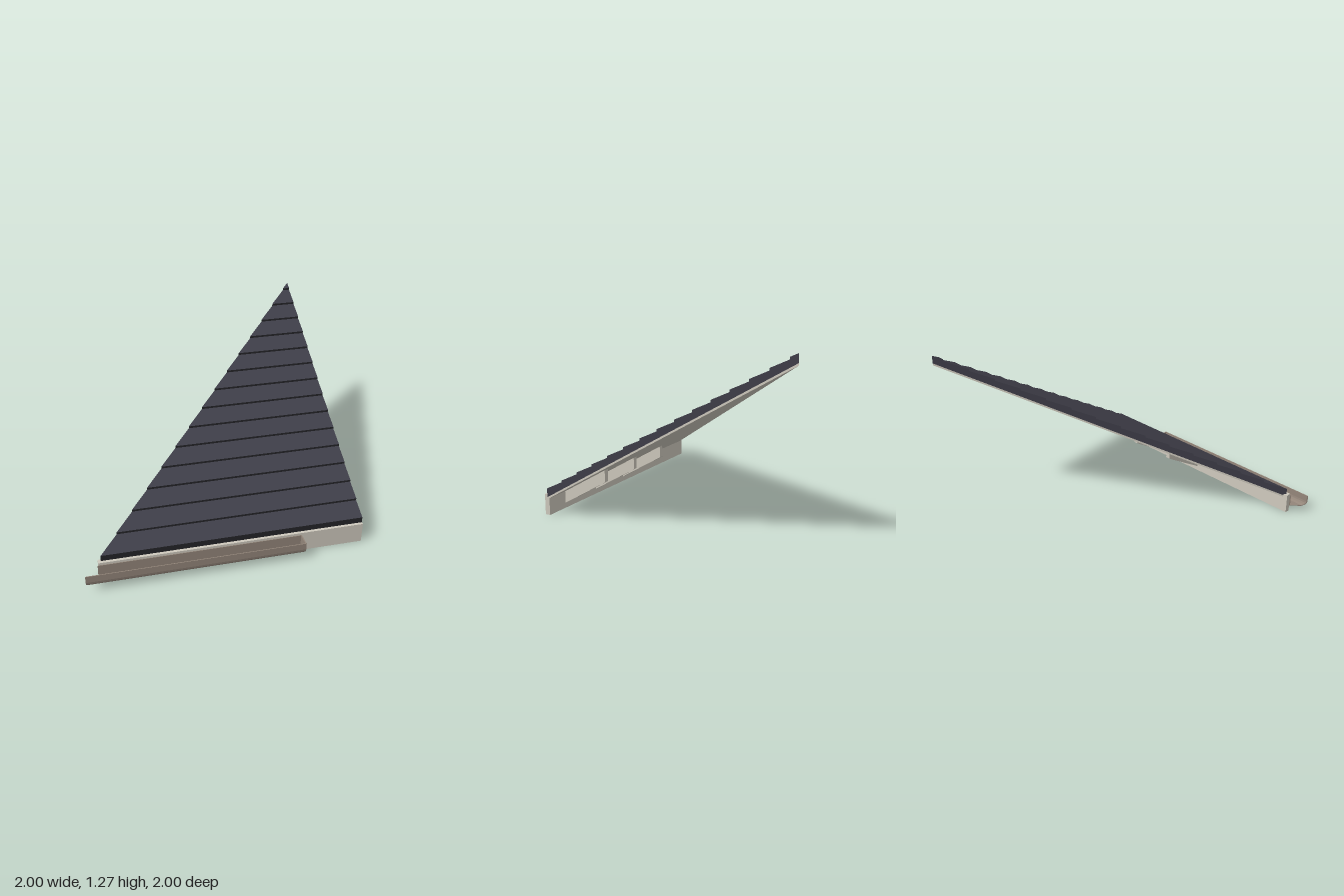
import * as THREE from 'three';

const mat = (name, color, side = THREE.FrontSide) => {
  const m = new THREE.MeshStandardMaterial({ color, side });
  m.name = name;
  return m;
};

const SLOPE = 0.577;      // roof pitch, 30 degrees
const FRONT = 0.88;       // eave edge of the roof
const deckTop = (z) => 0.13 + (FRONT - z) * SLOPE;

// Sloping slab between zf and zb, cut on the left along the hip line x = -z.
// The front face is a second material group.
function hipSlab(zf, zb, bottomF, topF, bottomB, topB) {
  const a = [-zf, bottomF, zf], b = [1, bottomF, zf], c = [1, bottomB, zb], d = [-zb, bottomB, zb];
  const A = [-zf, topF, zf], B = [1, topF, zf], C = [1, topB, zb], D = [-zb, topB, zb];
  const quads = [[A, B, C, D], [a, d, c, b], [b, c, C, B], [d, a, A, D], [c, d, D, C], [a, b, B, A]];
  const pos = quads.flatMap(([p, q, r, s]) => [p, q, r, p, r, s].flat());
  const g = new THREE.BufferGeometry();
  g.setAttribute('position', new THREE.Float32BufferAttribute(pos, 3));
  g.computeVertexNormals();
  g.addGroup(0, 30, 0);
  g.addGroup(30, 6, 1);
  return g;
}

// Extrude a (z, y) outline along x from x0 to x1
function extrudeX(points, x0, x1) {
  const shape = new THREE.Shape(points.map(([z, y]) => new THREE.Vector2(-z, y)));
  const g = new THREE.ExtrudeGeometry(shape, { depth: x1 - x0, bevelEnabled: false });
  return g.rotateY(Math.PI / 2).translate(x0, 0, 0);
}

export function createModel() {
  const root = new THREE.Group();
  root.name = 'hipRoofCorner';
  const slate = mat('slate', 0x3f3e49);
  const slateEdge = mat('slateEdge', 0x252429);
  const trim = mat('paleTrim', 0xcfcabe);
  const metal = mat('brownGutter', 0x94867a, THREE.DoubleSide);

  const add = (name, geometry, material, parent = root) => {
    const m = new THREE.Mesh(geometry, material);
    m.name = name;
    parent.add(m);
    return m;
  };

  // Overlapping tile courses, narrowing toward the peak
  const tiles = new THREE.Group();
  tiles.name = 'roofTiles';
  root.add(tiles);
  const pitch = 0.1304;
  for (let i = 0; i < 15; i++) {
    const zf = FRONT - i * pitch;
    const zb = Math.max(zf - pitch, -1);
    const topF = deckTop(zf) + 0.065;
    const topB = topF + (zf - zb) * 0.46;
    add('tileCourse' + (i + 1), hipSlab(zf, zb, deckTop(zf), topF, deckTop(zb), topB), [slate, slateEdge], tiles);
  }

  // Thin deck under the tiles
  const t = 0.015;
  add('roofDeck', hipSlab(FRONT, -1, deckTop(FRONT) - t, deckTop(FRONT), deckTop(-1) - t, deckTop(-1)), [trim, trim]);

  // Fascia board along the eave
  const fascia = add('fasciaBoard', new THREE.BoxGeometry(1.9, 0.152, 0.038), trim);
  fascia.position.set(0.05, 0.076, 0.882);

  // Rafter tails with plumb-cut ends
  const rafterOutline = [[0.865, 0.036], [0.51, 0.241], [0.51, 0.331], [0.865, 0.126]];
  [0.8, 0.425, 0.05].forEach((x, i) => {
    add('rafterTail' + (i + 1), extrudeX(rafterOutline, x - 0.019, x + 0.019), trim);
  });

  // Open gutter: thin trough, mitred on the hip line at its left end
  const outer = [[0.9, 0.135], [0.9, 0.044], [0.968, 0.044], [0.986, 0.053], [0.997, 0.068], [1, 0.085], [1, 0.135]];
  const inner = [[0.994, 0.135], [0.994, 0.086], [0.991, 0.071], [0.983, 0.058], [0.967, 0.05], [0.906, 0.05], [0.906, 0.135]];
  const trough = extrudeX([...outer, ...inner], -0.9, 0.54);
  const p = trough.attributes.position;
  for (let i = 0; i < p.count; i++) {
    if (p.getX(i) < 0) p.setX(i, -p.getZ(i));
  }
  trough.computeVertexNormals();
  add('gutterTrough', trough, metal);
  add('gutterEndCap', extrudeX(outer, 0.533, 0.541), metal);

  return root;
}
